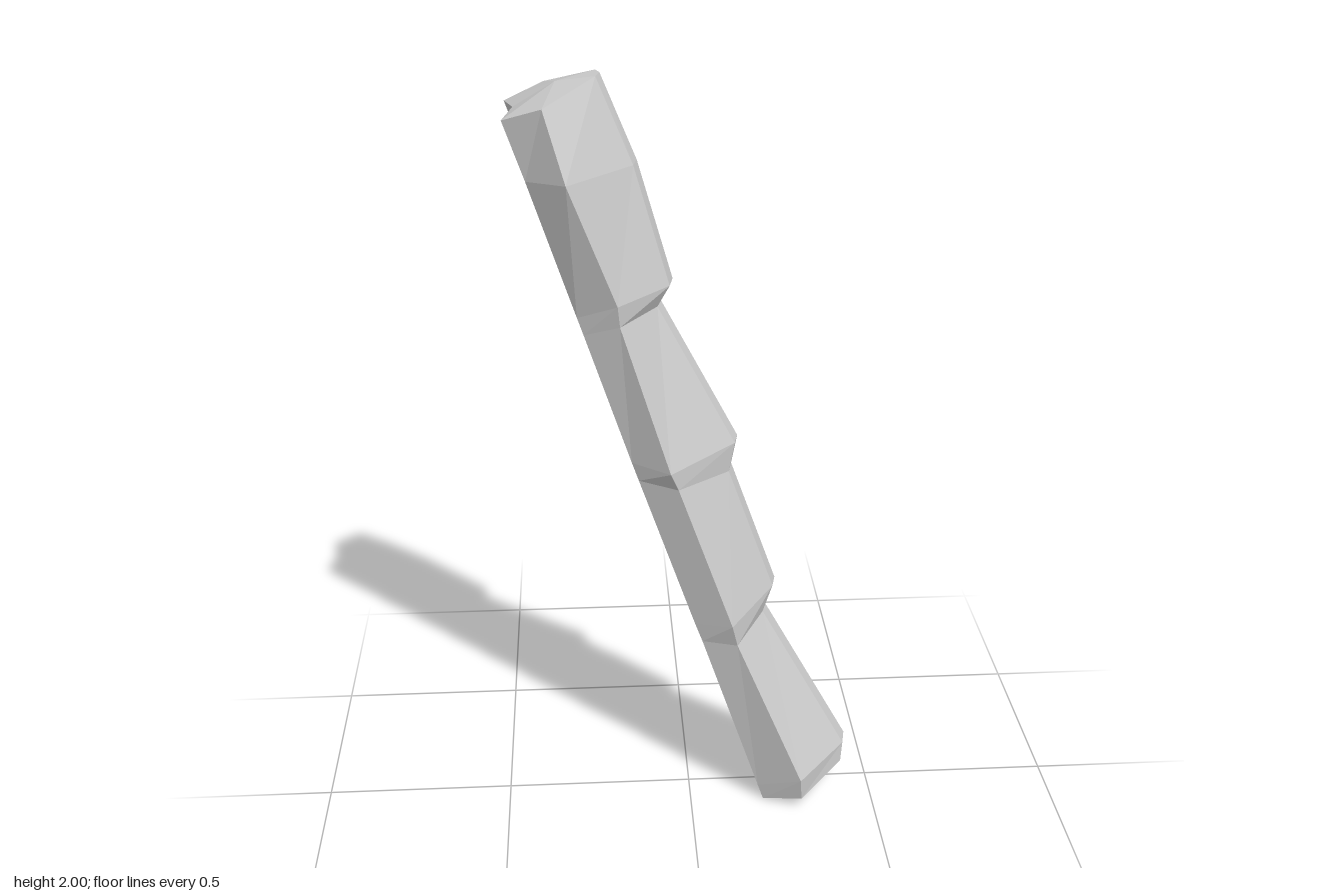
import * as THREE from 'three';

// Cross-sections from bottom to top: back edge [x, y], flank [x, y, half width],
// front edge [x, y, half width]
const RINGS = [
  [[0.20, 0.005], [0.30, 0.04, 0.16], [0.42, 0.088, 0.055]],
  [[0.185, 0.05], [0.295, 0.105, 0.172], [0.425, 0.145, 0.05]],
  [[0.03, 0.515], [0.12, 0.52, 0.14], [0.195, 0.568, 0.045]],
  [[0.01, 0.57], [0.105, 0.585, 0.156], [0.22, 0.645, 0.045]],
  [[-0.133, 0.99], [-0.035, 0.985, 0.155], [0.10, 0.985, 0.048]],
  [[-0.15, 1.04], [-0.055, 1.035, 0.17], [0.115, 1.063, 0.045]],
  [[-0.263, 1.385], [-0.175, 1.42, 0.15], [-0.08, 1.435, 0.045]],
  [[-0.278, 1.43], [-0.18, 1.475, 0.16], [-0.05, 1.49, 0.052]],
  [[-0.39, 1.77], [-0.295, 1.78, 0.187], [-0.135, 1.79, 0.045]],
  [[-0.44, 1.915], [-0.345, 1.95, 0.15], [-0.22, 2.0, 0.037]],
];
const BACK_HALF_WIDTH = 0.102;

// Mirrors one section across z into a closed loop of eight points
function makeLoop([[bx, by], [sx, sy, sz], [fx, fy, fz]]) {
  return [
    [bx + 0.024, by + 0.008, 0], // shallow groove along the back
    [bx, by, BACK_HALF_WIDTH],
    [sx, sy, sz],
    [fx, fy, fz],
    [fx + 0.01, fy + 0.002, 0], // front ridge
    [fx, fy, -fz],
    [sx, sy, -sz],
    [bx, by, -BACK_HALF_WIDTH],
  ];
}

function loftGeometry(loops, bottom, top) {
  const pos = [];
  const tri = (a, b, c) => pos.push(...a, ...b, ...c);
  const n = loops[0].length;
  const last = loops[loops.length - 1];
  for (let i = 0; i < n; i++) {
    const j = (i + 1) % n;
    for (let k = 0; k < loops.length - 1; k++) {
      const a = loops[k], b = loops[k + 1];
      // mirrored diagonals keep both flanks alike
      if (i < n / 2) {
        tri(a[i], a[j], b[j]);
        tri(a[i], b[j], b[i]);
      } else {
        tri(a[i], a[j], b[i]);
        tri(a[j], b[j], b[i]);
      }
    }
    tri(bottom, loops[0][j], loops[0][i]);
    tri(top, last[i], last[j]);
  }
  const geometry = new THREE.BufferGeometry();
  geometry.setAttribute('position', new THREE.Float32BufferAttribute(pos, 3));
  geometry.computeVertexNormals();
  return geometry;
}

export function createModel() {
  const group = new THREE.Group();
  group.name = 'handle';
  const material = new THREE.MeshStandardMaterial({ color: 0xcccccc, flatShading: true });

  // Slanted grip with finger swells, closed by low domed ends
  const grip = new THREE.Mesh(
    loftGeometry(RINGS.map(makeLoop), [0.32, 0.015, 0], [-0.315, 1.982, 0]),
    material
  );
  grip.name = 'grip';
  group.add(grip);
  return group;
}
